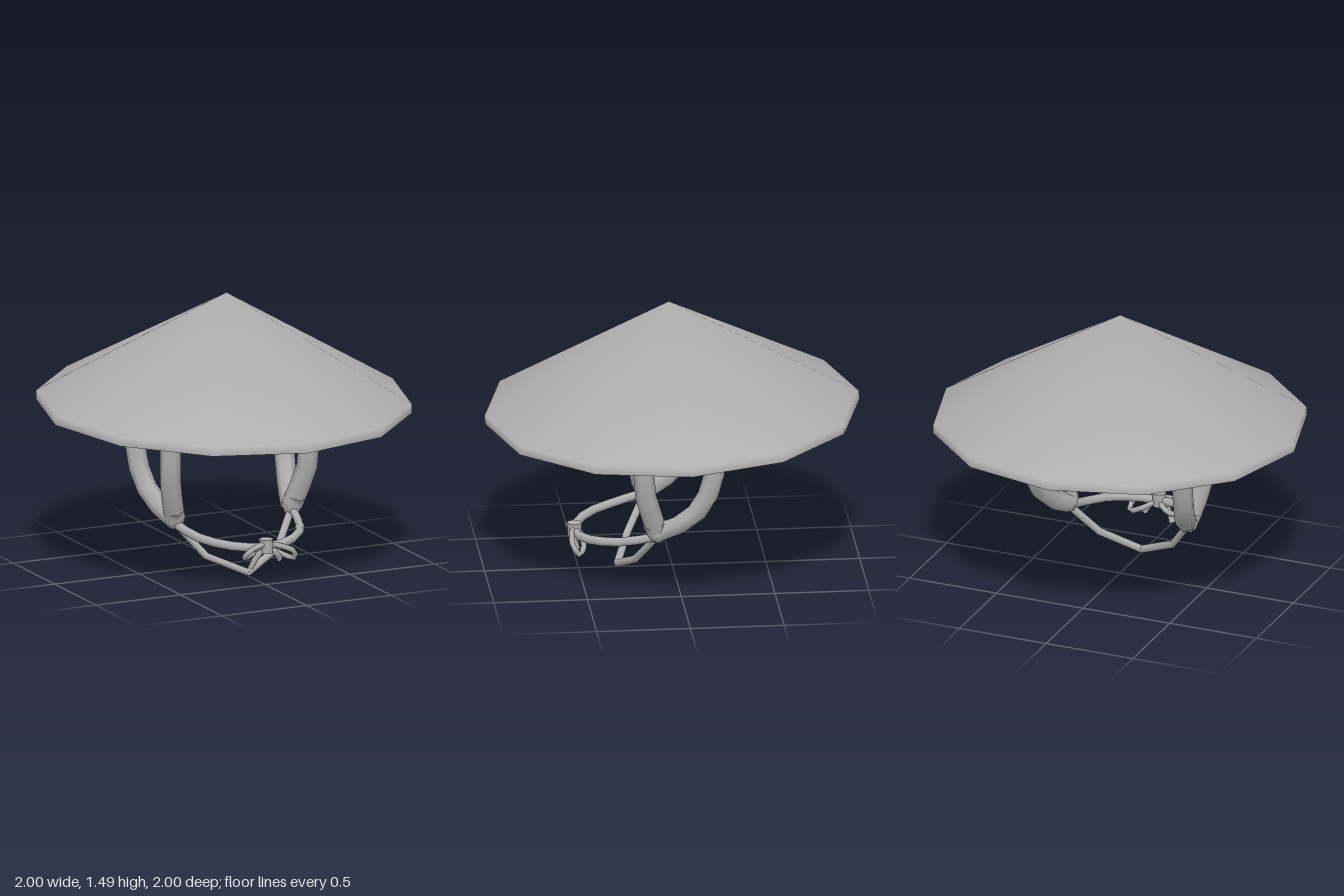
import * as THREE from 'three';
import { mergeVertices } from 'three/addons/utils/BufferGeometryUtils.js';

export function createModel() {
  const model = new THREE.Group();
  model.name = 'conicalHat';
  const grey = new THREE.MeshStandardMaterial({ color: 0xaeaeae, side: THREE.DoubleSide });
  grey.name = 'plainGrey';

  const add = (name, geometry, parent = model) => {
    const mesh = new THREE.Mesh(geometry, grey);
    mesh.name = name;
    parent.add(mesh);
    return mesh;
  };

  // Twelve-sided turned shell with one smooth normal per shared corner
  const shell = (profile) => {
    const g = new THREE.LatheGeometry(profile.map(([r, y]) => new THREE.Vector2(r, y)), 12);
    g.deleteAttribute('normal');
    g.deleteAttribute('uv');
    const merged = mergeVertices(g, 1e-4);
    merged.computeVertexNormals();
    return merged;
  };

  // Tube through points; side mirrors x
  const tube = (name, points, radius, segments, { side = 1, closed = false, parent = model, sides = 6 } = {}) => {
    const curve = new THREE.CatmullRomCurve3(
      points.map(([x, y, z]) => new THREE.Vector3(x * side, y, z)), closed, 'centripetal');
    return add(name, new THREE.TubeGeometry(curve, segments, radius, sides, closed), parent);
  };

  // Hat, tipped slightly forward
  const hat = new THREE.Group();
  hat.name = 'hat';
  hat.position.y = 0.862;
  hat.rotation.set(0.03, 0.01, -0.01);
  model.add(hat);
  add('hatOuter', shell([[1, 0], [1, 0.05], [0, 0.627]]), hat);
  add('hatUnderside', shell([[0, 0.22], [1, 0]]), hat);

  // Side straps, knots and cords, mirrored left and right
  for (const side of [1, -1]) {
    const label = side > 0 ? 'left' : 'right';
    tube(label + 'FrontStrap', [
      [0.375, 1.01, 0.2], [0.402, 0.85, 0.193], [0.405, 0.55, 0.183], [0.38, 0.43, 0.15], [0.345, 0.31, 0.115],
    ], 0.056, 6, { side });
    tube(label + 'BackStrap', [
      [0.38, 1.01, -0.215], [0.425, 0.85, -0.195], [0.435, 0.64, -0.178], [0.42, 0.48, -0.12],
      [0.39, 0.38, -0.03], [0.345, 0.31, 0.1],
    ], 0.055, 7, { side });

    // Knot flares at the top and narrows downward
    const knot = new THREE.Group();
    knot.name = label + 'Knot';
    knot.position.set(0.35 * side, 0.32, 0.115);
    knot.rotation.set(0.3, 0, -0.2 * side);
    model.add(knot);
    add('knotBody', new THREE.SphereGeometry(0.056, 7, 5), knot).position.y = -0.012;
    add('knotFlare', new THREE.CylinderGeometry(0.066, 0.04, 0.09, 6), knot).scale.x = 0.82;

    tube(label + 'FrontCord', [
      [0.345, 0.285, 0.12], [0.31, 0.25, 0.28], [0.23, 0.23, 0.42], [0.11, 0.215, 0.5], [0, 0.21, 0.52],
    ], 0.024, 6, { side });
    tube(label + 'ChinCord', [
      [0.345, 0.29, 0.11], [0.2, 0.105, 0.225], [0, 0.018, 0.292],
    ], 0.021, 2, { side });
  }

  // Bow at the front: knot, two loops and two tails
  const bow = new THREE.Group();
  bow.name = 'bow';
  model.add(bow);
  const bowKnot = add('bowKnot', new THREE.CylinderGeometry(0.04, 0.036, 0.075, 8), bow);
  bowKnot.position.set(-0.005, 0.217, 0.52);
  tube('leftBowLoop', [
    [0.01, 0.225, 0.525], [0.09, 0.205, 0.545], [0.155, 0.17, 0.54], [0.16, 0.13, 0.51],
    [0.1, 0.155, 0.48], [0.02, 0.2, 0.5],
  ], 0.016, 12, { closed: true, parent: bow, sides: 5 });
  tube('rightBowLoop', [
    [-0.01, 0.225, 0.525], [-0.08, 0.22, 0.545], [-0.13, 0.185, 0.54], [-0.125, 0.16, 0.51],
    [-0.08, 0.165, 0.48], [-0.02, 0.205, 0.5],
  ], 0.016, 12, { closed: true, parent: bow, sides: 5 });
  tube('leftBowTail', [[0.01, 0.21, 0.52], [0.05, 0.175, 0.53], [0.08, 0.13, 0.51]], 0.017, 3, { parent: bow, sides: 5 });
  tube('rightBowTail', [[-0.01, 0.21, 0.52], [-0.06, 0.165, 0.52], [-0.088, 0.1, 0.5]], 0.017, 3, { parent: bow, sides: 5 });

  return model;
}
